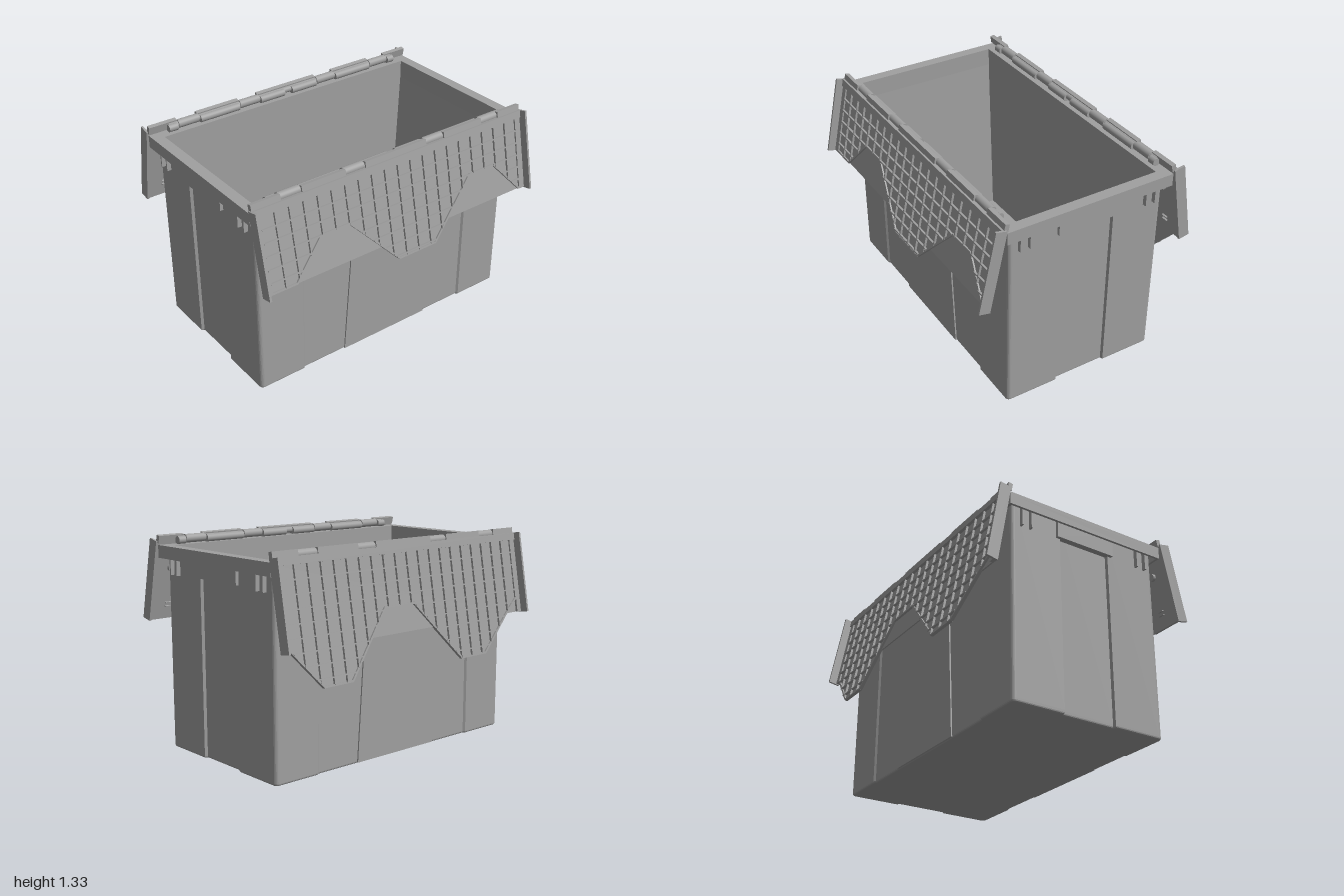
import * as THREE from 'three';

const grey = new THREE.MeshStandardMaterial({ color: 0xa0a0a0 });
grey.name = 'grey plastic';
const CX = -0.012; // the tub sits slightly off centre

function add(parent, name, geo) {
  const m = new THREE.Mesh(geo, grey);
  m.name = name;
  parent.add(m);
  return m;
}
// box given by its min and max on each axis
function box(parent, name, x0, x1, y0, y1, z0, z1) {
  const m = add(parent, name, new THREE.BoxGeometry(x1 - x0, y1 - y0, z1 - z0));
  m.position.set((x0 + x1) / 2, (y0 + y1) / 2, (z0 + z1) / 2);
  return m;
}
function rod(parent, name, r, x, y, z0, z1, sides = 20) {
  const m = add(parent, name, new THREE.CylinderGeometry(r, r, z1 - z0, sides).rotateX(Math.PI / 2));
  m.position.set(x, y, (z0 + z1) / 2);
  return m;
}
const shapeOf = pts => new THREE.Shape(pts.map(p => new THREE.Vector2(p[0], p[1])));
const rect = (a, b) => [[-a, -b], [a, -b], [a, b], [-a, b]];
// horizontal plan shape raised from y0 to y1
function raise(pts, hole, y0, y1, bevel = 0) {
  const s = shapeOf(pts);
  if (hole) s.holes.push(shapeOf([...hole].reverse()));
  const g = new THREE.ExtrudeGeometry(s, {
    depth: y1 - y0 - 2 * bevel, bevelEnabled: bevel > 0, bevelSize: bevel,
    bevelThickness: bevel, bevelOffset: -bevel, bevelSegments: 3
  });
  return g.translate(0, 0, bevel).rotateX(-Math.PI / 2).translate(0, y0, 0);
}
// outline in (z, y) given a thickness in x
function plateX(pts, x0, x1) {
  const g = new THREE.ExtrudeGeometry(shapeOf(pts.map(p => [-p[0], p[1]])), { depth: x1 - x0, bevelEnabled: false });
  return g.rotateY(Math.PI / 2).translate(x0, 0, 0);
}

function makeTub() {
  const tub = new THREE.Group();
  tub.name = 'tub';
  tub.position.x = CX;
  // one quarter of the plan, with recessed end and side panels
  const q = [[0.507, 0.62], [0.518, 0.632]];
  for (let i = 0; i <= 5; i++) {
    const a = i / 5 * Math.PI / 2;
    q.push([0.493 + 0.025 * Math.cos(a), 0.92 + 0.025 * Math.sin(a)]);
  }
  q.push([0.176, 0.945], [0.17, 0.927]);
  const r = [...q].reverse();
  const plan = [...q, ...r.map(p => [-p[0], p[1]]), ...q.map(p => [-p[0], -p[1]]), ...r.map(p => [p[0], -p[1]])];
  const hole = rect(0.48, 0.92);
  add(tub, 'walls', raise(plan, hole, 0.025, 1.255));
  add(tub, 'floor', raise(plan, null, 0, 0.04, 0.013));
  // rim: top plate and hanging skirt
  add(tub, 'rimTop', raise(rect(0.552, 0.99), hole, 1.25, 1.27));
  add(tub, 'rimSkirt', raise(rect(0.552, 0.99), rect(0.537, 0.975), 1.192, 1.252));
  for (const s of [-1, 1]) {
    // sloping inner end wall
    const wedge = s > 0
      ? [[0.925, 1.262], [0.868, 0.03], [0.925, 0.03]]
      : [[-0.925, 1.262], [-0.925, 0.03], [-0.868, 0.03]];
    add(tub, 'innerEndWall', plateX(wedge.reverse(), -0.481, 0.481));
    // raised tapering panel on the long side
    add(tub, 'sidePanel', plateX([[0.32, 0.006], [-0.32, 0.006], [-0.24, 1.19], [0.24, 1.19]],
      s > 0 ? 0.5 : -0.516, s > 0 ? 0.516 : -0.5));
    // end grip with its ribs
    const zs = (a, b) => s > 0 ? [a, b] : [-b, -a];
    box(tub, 'endGrip', -0.203, 0.203, 1.105, 1.25, ...zs(0.92, 0.965));
    for (const x of [-0.453, -0.39, 0.39, 0.453])
      box(tub, 'rimRib', x - 0.005, x + 0.005, 1.095, 1.25, ...zs(0.94, 0.972));
  }
  return tub;
}

// half of the lid, hanging open; edge is the ribbed panel outline in (z, y)
function makeLid(name, edge, hinges) {
  const lid = new THREE.Group();
  lid.name = name;
  const L = -0.512, top = -0.045;
  const bottom = z => {
    for (let i = 1; i < edge.length; i++) {
      const [a, b] = [edge[i - 1], edge[i]];
      if (z <= b[0]) return a[1] + (b[1] - a[1]) * (z - a[0]) / (b[0] - a[0]);
    }
    return edge[edge.length - 1][1];
  };
  box(lid, 'lidPlate', 0, 0.008, L, 0, -0.99, 0.99);
  const outline = [[-0.95, top], ...edge, [0.95, top]];
  add(lid, 'ribbedPanel', plateX(outline, 0.002, 0.012));
  box(lid, 'topBand', 0, 0.03, top, 0, -0.99, 0.99);
  for (const s of [-1, 1]) {
    box(lid, 'endFlange', 0, 0.072, L - 0.005, 0, s * 0.993 - 0.007, s * 0.993 + 0.007);
    box(lid, 'endBand', 0, 0.022, L, 0, s * 0.97 - 0.02, s * 0.97 + 0.02);
    const boss = add(lid, 'boss', new THREE.CylinderGeometry(0.024, 0.024, 0.02, 16).rotateZ(Math.PI / 2));
    boss.position.set(-0.01, -0.175, s * 0.88);
    for (const y of [-0.43, -0.405]) box(lid, 'pin', -0.012, 0, y - 0.003, y + 0.003, s * 0.88 - 0.02, s * 0.88 + 0.02);
  }
  // rim of the ribbed panel
  for (let i = 1; i < outline.length; i++) {
    const [a, b] = [outline[i - 1], outline[i]];
    const dz = b[0] - a[0], dy = b[1] - a[1];
    const m = add(lid, 'panelEdge', new THREE.BoxGeometry(0.02, 0.012, Math.hypot(dz, dy) + 0.006));
    m.position.set(0.012, (a[1] + b[1]) / 2, (a[0] + b[0]) / 2);
    m.rotation.x = -Math.atan2(dy, dz);
  }
  // rib lattice clipped to the panel
  for (let i = 1; i < 20; i++) {
    const z = -0.95 + i * 0.095;
    box(lid, 'uprightRib', 0.004, 0.026, bottom(z), top, z - 0.004, z + 0.004);
  }
  for (let y = top - 0.08; y > -0.72; y -= 0.08) {
    let start = null;
    for (let i = 0; i <= 190; i++) {
      const z = -0.95 + i * 0.01, inside = i < 190 && bottom(z) < y;
      if (inside && start === null) start = z;
      if (!inside && start !== null) {
        box(lid, 'lengthRib', 0.004, 0.026, y - 0.004, y + 0.004, start, z);
        start = null;
      }
    }
  }
  // hinge lugs standing between the hinge gaps
  let z = -0.99;
  for (const [a, b] of [...hinges, [0.99, 1]]) {
    box(lid, 'hingeLug', -0.012, 0.016, -0.01, 0.036, z, a);
    z = b;
  }
  return lid;
}

export function createModel() {
  const model = new THREE.Group();
  model.name = 'lidded crate';
  model.add(makeTub());
  const hinges = [[-0.81, -0.67], [-0.37, -0.23], [0.22, 0.36], [0.66, 0.8]];

  // lid half with one middle tooth
  const oneTooth = [[-0.95, -0.505], [-0.94, -0.505], [-0.74, -0.285], [-0.54, -0.285], [-0.22, -0.622],
    [0.06, -0.622], [0.38, -0.285], [0.58, -0.285], [0.78, -0.505], [0.95, -0.505]];
  const left = makeLid('leftLid', oneTooth, hinges);
  left.position.set(0.545, 1.292, 0);
  left.rotation.z = 0.212;
  model.add(left);

  // lid half with two teeth, turned to face the other way
  const twoTeeth = [[-0.95, -0.42], [-0.85, -0.5], [-0.6, -0.73], [-0.38, -0.73], [-0.02, -0.35],
    [0.22, -0.35], [0.53, -0.73], [0.74, -0.73], [0.95, -0.5]];
  const turned = new THREE.Group();
  turned.name = 'rightLidHalf';
  turned.rotation.y = Math.PI;
  const right = makeLid('rightLid', twoTeeth, hinges.map(h => [-h[1], -h[0]]).reverse());
  right.position.set(0.565, 1.292, 0);
  right.rotation.z = 0.177;
  turned.add(right);
  model.add(turned);

  // hinge barrels along both long edges of the rim
  for (const s of [-1, 1]) {
    const x = CX + s * 0.535;
    rod(model, 'hingePin', 0.02, x, 1.298, -0.86, 0.86);
    for (const [a, b] of hinges) rod(model, 'hingeBarrel', 0.027, x, 1.298, a, b);
    for (const [a, b] of [[-0.87, -0.82], [-0.66, -0.38], [-0.22, -0.03], [0.03, 0.21], [0.37, 0.65], [0.81, 0.87]])
      rod(model, 'rimBarrel', 0.024, x - s * 0.012, 1.292, a, b);
  }
  return model;
}
